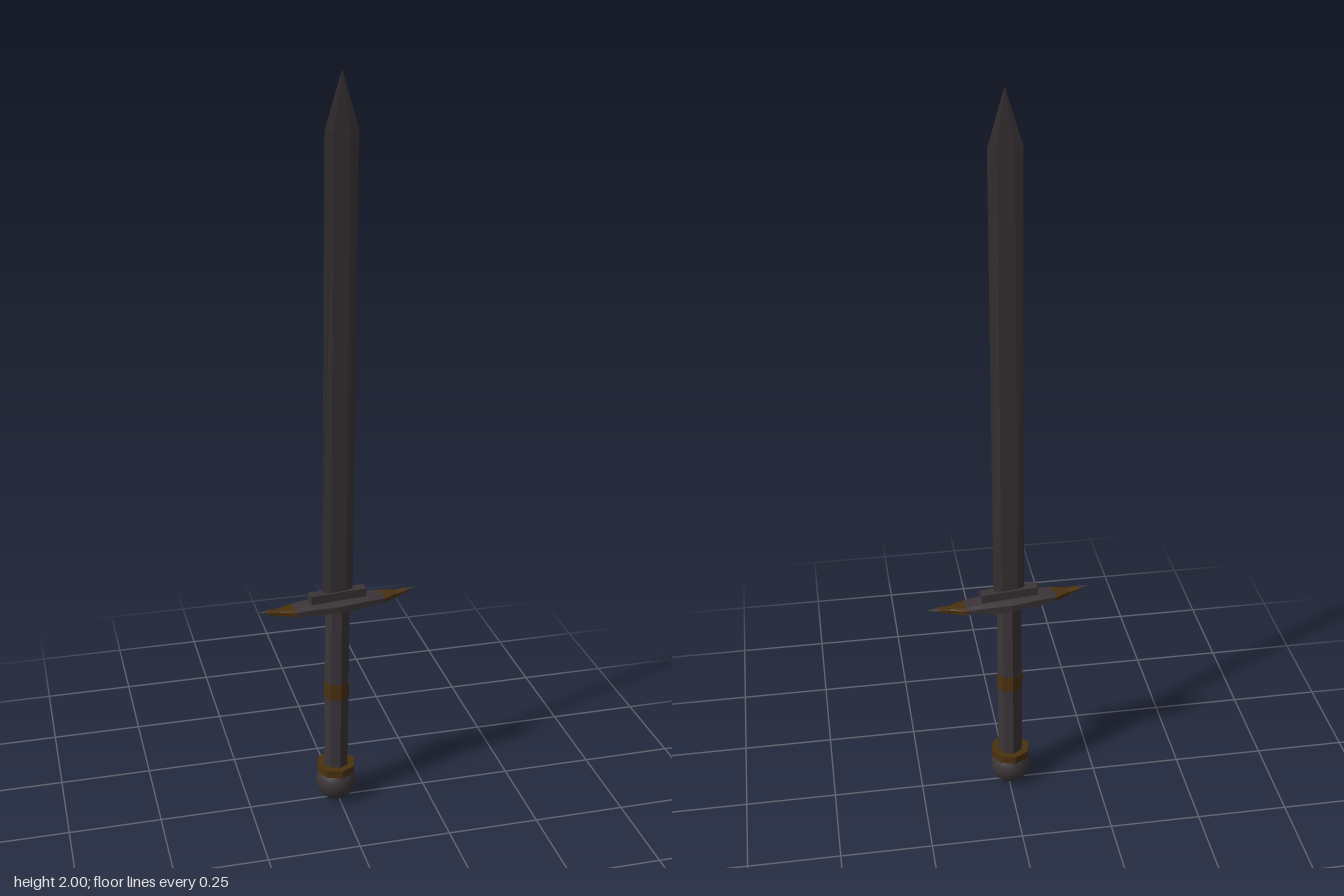
import * as THREE from 'three';

const steel = new THREE.MeshStandardMaterial({ color: 0x3b3538 });
steel.name = 'darkSteel';
const bronze = new THREE.MeshStandardMaterial({ color: 0x4a310f });
bronze.name = 'agedBronze';

// Faceted skin through rings of points, closed at both ends
function loft(rings) {
  const n = rings[0].length;
  const pos = [];
  const tri = (a, b, c) => pos.push(...a, ...b, ...c);
  for (let r = 0; r < rings.length - 1; r++) {
    const a = rings[r], b = rings[r + 1];
    for (let i = 0; i < n; i++) {
      const j = (i + 1) % n;
      tri(a[i], a[j], b[j]);
      tri(a[i], b[j], b[i]);
    }
  }
  const first = rings[0], last = rings[rings.length - 1];
  for (let i = 1; i < n - 1; i++) {
    tri(first[0], first[i + 1], first[i]);
    tri(last[0], last[i], last[i + 1]);
  }
  const g = new THREE.BufferGeometry();
  g.setAttribute('position', new THREE.Float32BufferAttribute(pos, 3));
  g.computeVertexNormals();
  return g;
}

function faceted(geometry) {
  const g = geometry.toNonIndexed();
  g.computeVertexNormals();
  return g;
}

export function createModel() {
  const model = new THREE.Group();
  model.name = 'sword';
  const sword = new THREE.Group();
  sword.name = 'swordParts';

  const add = (name, geometry, material, y = 0) => {
    const mesh = new THREE.Mesh(geometry, material);
    mesh.name = name;
    mesh.position.y = y;
    sword.add(mesh);
    return mesh;
  };
  const drum = (name, radius, y0, y1, material) =>
    add(name, faceted(new THREE.CylinderGeometry(radius, radius, y1 - y0, 8)), material, (y0 + y1) / 2);

  // Pommel and grip
  add('pommel', new THREE.SphereGeometry(0.056, 16, 12), steel, 0.056);
  drum('pommelCollar', 0.055, 0.09, 0.112, bronze);
  drum('grip', 0.035, 0.1, 0.6, steel);
  drum('gripBand', 0.0365, 0.328, 0.374, bronze);

  // Crossguard: chamfered sections at x, with half depth, bottom and top
  const section = ([x, d, y0, y1]) => {
    const c = 0.6, h = (y1 - y0) / 2, m = (y0 + y1) / 2;
    return [[1, -c], [1, c], [c, 1], [-c, 1], [-1, c], [-1, -c], [-c, -1], [c, -1]]
      .map(([u, v]) => [x, m + u * h, v * d]);
  };
  const arm = [
    [0.125, 0.028, 0.597, 0.617],
    [0.165, 0.013, 0.6, 0.616],
    [0.195, 0.009, 0.608, 0.618],
    [0.226, 0.0005, 0.615, 0.617],
  ];
  const core = [[0, 0.039, 0.59, 0.622], [0.08, 0.032, 0.591, 0.621], arm[0]];
  const mirror = (list) => list.map(([x, ...rest]) => [-x, ...rest]).reverse();
  add('crossguard', loft([...mirror(core.slice(1)), ...core].map(section)), steel);
  for (const [side, flip] of [['left', (l) => l], ['right', mirror]]) {
    add(side + 'GuardSleeve', loft(flip(arm.slice(0, 3)).map(section)), bronze);
    add(side + 'GuardTip', loft(flip(arm.slice(2)).map(section)), steel);
  }

  // Block that seats the blade
  add('bladeSeat', new THREE.BoxGeometry(0.156, 0.027, 0.028), steel, 0.6315);

  // Blade: bevelled six-sided section, narrowing to a point
  const bladeRing = ([y, w, t]) =>
    [[0.5, 1], [1, 0], [0.5, -1], [-0.5, -1], [-1, 0], [-0.5, 1]].map(([u, v]) => [u * w, y, v * t]);
  add('blade', loft([
    [0.63, 0.043, 0.008],
    [1.86, 0.044, 0.004],
    [2, 0.0005, 0.0005],
  ].map(bladeRing)), steel);

  // Slight turn and lean of the whole sword
  sword.rotation.y = 0.115;
  model.add(sword);
  model.rotation.set(0.0135, 0, -0.005);
  model.position.x = -0.006;
  return model;
}
